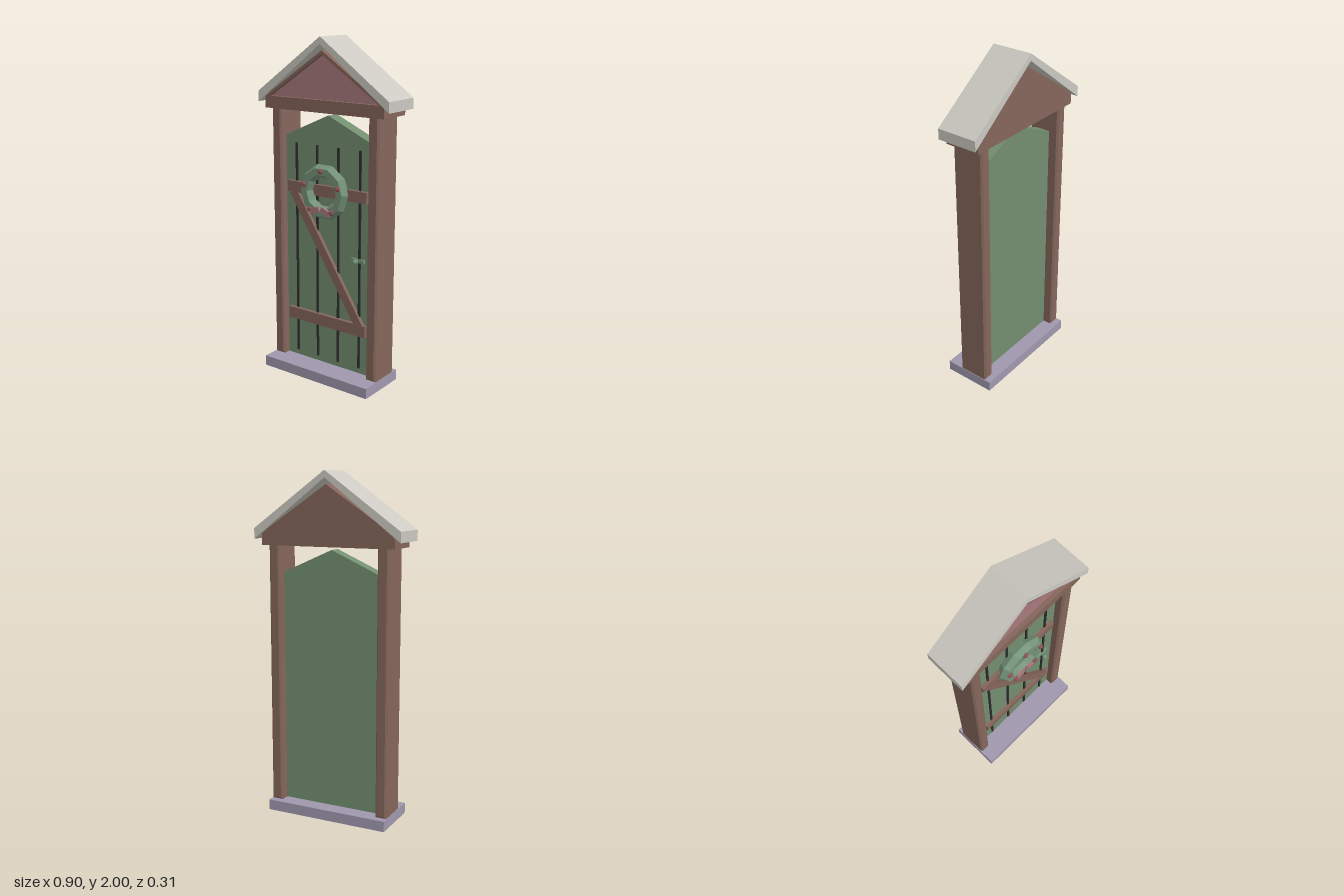
import * as THREE from 'three';

const mat = (name, color) => {
  const m = new THREE.MeshStandardMaterial({ color });
  m.name = name;
  return m;
};

export function createModel() {
  const group = new THREE.Group();
  const wood = mat('brown wood', 0x84665a);
  const green = mat('door green', 0x738e6f);
  const pink = mat('dusty pink', 0xa8777c);
  const roofGrey = mat('pale roof', 0xcbc9c1);
  const stone = mat('lilac stone', 0xa098ae);
  const dark = mat('dark groove', 0x2c2e2c);
  const leaf = mat('wreath green', 0x76947a);
  const berryRed = mat('berry red', 0x8c5053);

  const add = (name, geometry, material, x = 0, y = 0, z = 0) => {
    const mesh = new THREE.Mesh(geometry, material);
    mesh.name = name;
    mesh.position.set(x, y, z);
    group.add(mesh);
    return mesh;
  };
  const box = (w, h, d) => new THREE.BoxGeometry(w, h, d);
  const points = (list) => list.map(([x, y]) => new THREE.Vector2(x, y));
  // Straight extrusion of an outline between two depths
  const slab = (outline, z0, z1, hole) => {
    const shape = new THREE.Shape(points(outline));
    if (hole) shape.holes.push(new THREE.Path(points(hole)));
    return new THREE.ExtrudeGeometry(shape, { depth: z1 - z0, bevelEnabled: false }).translate(0, 0, z0);
  };
  // Box with every edge chamfered by b
  const chamferBox = (w, h, d, b) => {
    const x = w / 2 - b, y = h / 2 - b;
    const shape = new THREE.Shape(points([[-x, -y], [x, -y], [x, y], [-x, y]]));
    return new THREE.ExtrudeGeometry(shape, {
      depth: d - 2 * b, bevelThickness: b, bevelSize: b, bevelSegments: 1,
    }).translate(0, 0, -d / 2 + b);
  };
  const faceted = (geometry) => {
    const g = geometry.toNonIndexed();
    g.computeVertexNormals();
    return g;
  };

  // Step and side posts
  add('baseStep', box(0.75, 0.062, 0.315), stone, 0, 0.031, 0);
  for (const s of [-1, 1]) {
    add('post', chamferBox(0.067, 1.54, 0.19, 0.01), wood, s * 0.338, 0.832, -0.03);
  }

  // Gable: solid back, raised front frame, recessed panel
  const gable = [[-0.41, 1.585], [0.41, 1.585], [0.41, 1.655], [0, 1.925], [-0.41, 1.655]];
  const opening = [[-0.38, 1.655], [0.38, 1.655], [0, 1.905]];
  add('gableBody', slab(gable, -0.135, 0.045), wood);
  add('gableFrame', slab(gable, 0.045, 0.075, opening), wood);
  add('gablePanel', slab(opening, 0.045, 0.05), pink);

  // Roof
  add('roof', slab([[-0.45, 1.62], [0, 1.96], [0.45, 1.62], [0.45, 1.68], [0, 2], [-0.45, 1.68]],
    -0.152, 0.09), roofGrey);

  // Door leaf with plank grooves
  add('door', slab([[-0.307, 0.06], [0.307, 0.06], [0.307, 1.43], [0, 1.565], [-0.307, 1.43]],
    -0.065, 0.015), green);
  for (const x of [-0.225, -0.075, 0.075, 0.225]) {
    add('plankGroove', box(0.013, 1.295, 0.009), dark, x, 0.743, 0.0185);
  }

  // Rails and diagonal brace
  add('upperRail', box(0.56, 0.065, 0.025), wood, 0, 1.132, 0.0265);
  add('lowerRail', box(0.56, 0.07, 0.025), wood, 0, 0.34, 0.0265);
  const brace = add('diagonalBrace', box(0.054, 0.885, 0.023), wood, -0.003, 0.735, 0.0265);
  brace.rotation.z = Math.atan2(0.464, 0.725);

  // Handle
  add('handlePlate', box(0.09, 0.022, 0.012), leaf, 0.215, 0.757, 0.022);
  add('handleStem', new THREE.CylinderGeometry(0.008, 0.008, 0.03, 6).rotateX(Math.PI / 2),
    leaf, 0.215, 0.757, 0.04);
  add('handleKnob', faceted(new THREE.SphereGeometry(0.016, 6, 5)), leaf, 0.215, 0.757, 0.05);

  // Wreath with berries and bow
  add('wreath', faceted(new THREE.TorusGeometry(0.125, 0.04, 6, 10)), leaf, 0, 1.133, 0.05);
  for (const [x, y] of [[0, 1.258], [0.12, 1.172], [-0.12, 1.172], [0.077, 1.03], [-0.077, 1.03]]) {
    add('berry', faceted(new THREE.SphereGeometry(0.016, 8, 6)), berryRed, x, y, 0.088);
  }
  for (const s of [-1, 1]) {
    const loop = add('bowLoop', box(0.068, 0.032, 0.016), pink, s * 0.038, 1.027, 0.09);
    loop.rotation.z = -s * 0.42;
  }

  return group;
}
